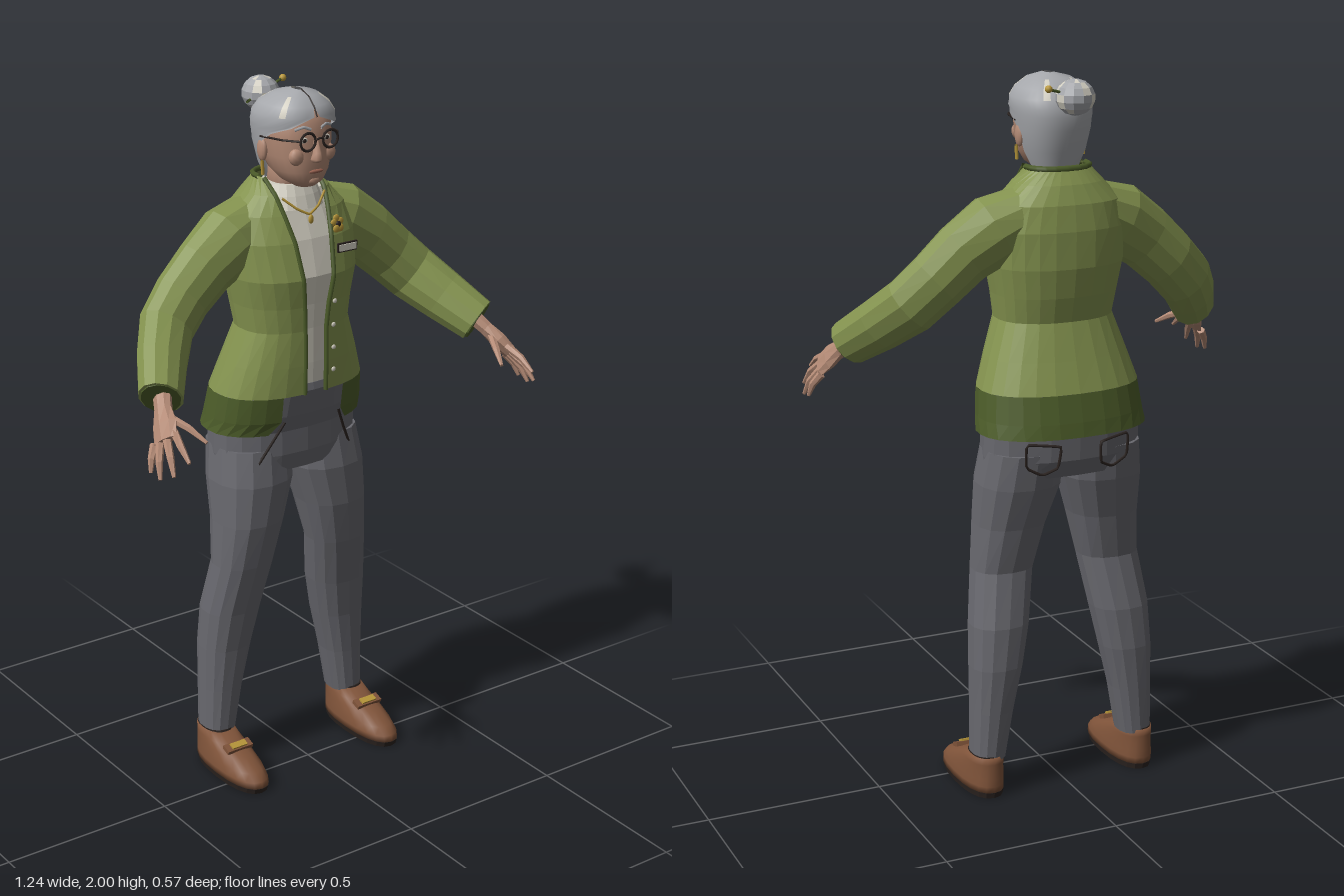
import * as THREE from 'three';

const V = (x, y, z) => new THREE.Vector3(x, y, z);
const paint = (name, color, side = THREE.FrontSide) =>
  Object.assign(new THREE.MeshStandardMaterial({ color, side }), { name });

// Joins rings of points into a skin; pick(row, column) chooses a material index.
function loft(rings, { open = false, flat = true, pick = () => 0 } = {}) {
  const n = rings[0].length, pos = [], faces = [];
  const put = (m, ...v) => (faces[m] ??= []).push(...v);
  rings.flat().forEach((p) => pos.push(p.x, p.y, p.z));
  for (let i = 0; i < rings.length - 1; i++)
    for (let j = 0; j < (open ? n - 1 : n); j++) {
      const k = (j + 1) % n, a = i * n + j, b = i * n + k;
      put(pick(i, j), a, b, b + n, a, b + n, a + n);
    }
  if (!open) [0, rings.length - 1].forEach((r, top) => {
    const c = rings[r].reduce((s, p) => s.add(p), V(0, 0, 0)).divideScalar(n);
    const id = pos.length / 3;
    pos.push(c.x, c.y, c.z);
    for (let j = 0; j < n; j++) {
      const a = r * n + j, b = r * n + (j + 1) % n;
      top ? put(0, a, b, id) : put(0, b, a, id);
    }
  });
  let g = new THREE.BufferGeometry();
  g.setAttribute('position', new THREE.Float32BufferAttribute(pos, 3));
  g.setIndex(faces.flat());
  let start = 0;
  faces.forEach((f, m) => { g.addGroup(start, f.length, m); start += f.length; });
  if (flat) g = g.toNonIndexed();
  g.computeVertexNormals();
  return g;
}

// Level ring [y, front z, back z, half width], starting at angle t0 from the front.
function ring([y, zf, zb, rx], { cx = 0, t0 = 0, n = 20, e = 0.85, open = false } = {}) {
  const pw = (v) => Math.sign(v) * Math.abs(v) ** e;
  return Array.from({ length: n }, (_, j) => {
    const t = t0 + (2 * Math.PI - 2 * t0) * j / (open ? n - 1 : n);
    return V(cx + rx * pw(Math.sin(t)), y, (zf + zb) / 2 + (zf - zb) / 2 * pw(Math.cos(t)));
  });
}
const gapAngle = (half, rx) => Math.asin(Math.min(1, half / rx) ** (1 / 0.85));

// Rings around a path of [x, y, z, thickness, width].
function sweep(path, n = 10) {
  const p = path.map((a) => V(a[0], a[1], a[2]));
  return path.map((a, i) => {
    const T = p[Math.min(i + 1, p.length - 1)].clone().sub(p[Math.max(i - 1, 0)]).normalize();
    const B = V(0, 0, 1).addScaledVector(T, -T.z).normalize(), N = T.clone().cross(B);
    return Array.from({ length: n }, (_, j) => {
      const t = j / n * 2 * Math.PI;
      return p[i].clone().addScaledVector(B, a[4] * Math.cos(t)).addScaledVector(N, a[3] * Math.sin(t));
    });
  });
}

// Point on a body table at x, y, pushed outwards by off.
function onBody(table, x, y, off = 0, back = false) {
  let i = 0;
  while (i < table.length - 2 && table[i + 1][0] < y) i++;
  const a = table[i], b = table[i + 1], f = THREE.MathUtils.clamp((y - a[0]) / (b[0] - a[0]), 0, 1);
  const [zf, zb, rx] = [1, 2, 3].map((k) => a[k] + (b[k] - a[k]) * f);
  const s = Math.min(1, Math.abs(x) / rx) ** (1 / 0.85), c = Math.sqrt(1 - s * s) ** 0.85;
  return V(x, y, (zf + zb) / 2 + (back ? -1 : 1) * ((zf - zb) / 2 * c + off));
}

// Body tables, bottom to top: y, front z, back z, half width, (opening half width)
const COAT = [[1.165, .037, -.262, .228, .035], [1.25, .04, -.235, .2, .035], [1.35, .04, -.205, .165, .035],
  [1.42, .045, -.222, .175, .04], [1.5, .055, -.235, .19, .05], [1.6, .03, -.235, .195, .06],
  [1.67, 0, -.225, .175, .072], [1.72, -.02, -.205, .125, .08], [1.76, -.04, -.18, .088, .084]];
const HEM = [[1.05, .01, -.287, .242, .13], [1.09, .025, -.28, .236, .1], [1.165, .037, -.262, .228, .1]];
const HIPS = [[.93, -.01, -.24, .222], [.98, 0, -.262, .227], [1.05, 0, -.265, .226], [1.1, .018, -.258, .215],
  [1.17, .03, -.24, .2], [1.19, .025, -.22, .185]];
const LEG = [[.11, -.085, -.2, .048, .228], [.25, -.078, -.207, .06, .215], [.38, -.068, -.213, .075, .2],
  [.5, -.05, -.207, .085, .185], [.65, -.02, -.175, .088, .162], [.78, 0, -.2, .1, .142],
  [.9, .003, -.235, .117, .122], [1, -.015, -.25, .11, .115]];
const HEAD = [[1.745, .012, -.05, .028], [1.76, .03, -.09, .052], [1.79, .038, -.13, .074], [1.83, .04, -.16, .087],
  [1.88, .037, -.17, .093], [1.92, .034, -.17, .093], [1.96, .01, -.14, .07]];
// Hair's last number is the angle where the face opening ends
const HAIR = [[1.745, .03, -.15, .068, 2], [1.8, .04, -.168, .09, 1.8], [1.86, .045, -.184, .101, 1.65],
  [1.895, .045, -.186, .105, 1.25], [1.915, .045, -.185, .107, .65], [1.94, .042, -.178, .105, .05],
  [1.965, .027, -.158, .09, 0], [1.988, .002, -.12, .058, 0], [2, -.03, -.075, .01, 0]];
const SHOE = [[.015, .105, -.207, .06], [.035, .1, -.208, .06], [.055, .075, -.207, .058], [.08, .02, -.205, .054],
  [.1, -.04, -.204, .05], [.12, -.085, -.202, .046]];

export function createModel() {
  const model = new THREE.Group();
  model.name = 'elderlyWoman';
  const skin = paint('skin', 0xb38a75), lip = paint('lips', 0x96604f), hair = paint('greyHair', 0xa5a7ab, THREE.DoubleSide);
  const cream = paint('cream', 0xd3cfc2, THREE.DoubleSide), green = paint('oliveCoat', 0x84934f, THREE.DoubleSide);
  const dark = paint('darkOlive', 0x4d5d2a, THREE.DoubleSide), grey = paint('greyTrousers', 0x68686e);
  const brown = paint('brownLeather', 0x80543a), black = paint('nearBlack', 0x2b2320), gold = paint('gold', 0xb8973a);

  const add = (name, geo, mat, x = 0, y = 0, z = 0) => {
    const m = new THREE.Mesh(geo, mat);
    m.name = name;
    m.position.set(x, y, z);
    model.add(m);
    return m;
  };
  const box = (name, w, h, d, mat, p) => add(name, new THREE.BoxGeometry(w, h, d), mat, p.x, p.y, p.z);
  const ball = (name, r, mat, p, sx = 1, sy = 1, sz = 1) =>
    add(name, new THREE.SphereGeometry(r, 12, 8).scale(sx, sy, sz), mat, p.x, p.y, p.z);
  const line = (name, pts, r, mat, closed = false) =>
    add(name, new THREE.TubeGeometry(new THREE.CatmullRomCurve3(pts, closed, 'catmullrom', 0.1), pts.length * 5, r, 5, closed), mat);
  const openRings = (table, n) => table.map((r) => ring(r, { t0: gapAngle(r[4], r[3]), n, open: true }));

  // Clothes on the torso
  add('coat', loft(openRings(COAT, 25), { open: true }), green);
  add('coatHem', loft(openRings(HEM, 25), { open: true }), dark);
  add('shirt', loft(COAT.slice(0, 8).map(([y, f, b, w]) => ring([y, f - .014, b + .02, w * .92]))), cream);
  add('shirtCollar', loft([[1.68, .0, -.17, .088], [1.715, -.012, -.165, .08], [1.745, -.025, -.16, .07]].map((r) => ring(r))), cream);
  add('trouserSeat', loft(HIPS.map((r) => ring(r))), grey);
  line('collarTrim', ring([1.76, -.04, -.18, .088], { t0: 1.5, n: 11, open: true }), .008, dark);

  // Neck and head
  add('neck', loft([[1.71, -.035, -.15, .056], [1.8, -.03, -.14, .056]].map((r) => ring(r)), { flat: false }), skin);
  add('head', loft(HEAD.map((r) => ring(r, { n: 24 })), { flat: false }), skin);
  add('hair', loft(HAIR.map((r) => ring(r, { t0: r[4], n: 33, open: true })), {
    open: true, flat: false,
    pick: (i, j) => +(i >= 5 && i < 7 && [4, 5, 13, 19, 27].includes(j)),
  }), [hair, cream]);
  line('hairParting', [[1.94, .043], [1.965, .029], [1.988, .004], [2, -.03]].map(([y, z]) => V(0, y, z)), .002, black);
  const bun = Array.from({ length: 8 }, (_, i) => {
    const a = -1.4 + 2.8 * i / 7, r = .053 * Math.cos(a);
    return ring([1.954 + .048 * Math.sin(a), -.222 + r, -.222 - r, r], { n: 12, e: 1 });
  });
  add('hairBun', loft(bun, { pick: (i, j) => +((j + (i >> 1)) % 4 === 0 && i > 0) }), [hair, cream]);
  line('hairPin', [V(-.06, 1.94, -.2), V(.08, 1.98, -.235)], .004, dark);
  ball('hairPinTip', .01, gold, V(.082, 1.981, -.235));

  // Face
  add('nose', loft([[1.818, .05, .01, .014], [1.828, .066, .01, .018], [1.845, .058, .01, .012],
    [1.885, .042, .01, .008]].map((r) => ring(r, { n: 8, e: 1 })), { flat: false }), skin);
  ball('mouth', .024, lip, onBody(HEAD, 0, 1.793), 1, .22, .25);
  ball('chin', .022, skin, V(0, 1.766, .018), 1.1, .7, .8);
  line('glassesBridge', [V(-.012, 1.884, .056), V(0, 1.888, .058), V(.012, 1.884, .056)], .003, black);
  for (const s of [1, -1]) {
    const eye = onBody(HEAD, s * .036, 1.88);
    ball('eye', .013, cream, eye, 1, .6, .4);
    ball('pupil', .006, black, eye.clone().add(V(0, 0, .004)), 1, 1, .5);
    line('eyebrow', [.016, .036, .058].map((x, i) => onBody(HEAD, s * x, [1.908, 1.916, 1.908][i], .002)), .004, hair);
    ball('cheek', .024, skin, onBody(HEAD, s * .05, 1.835, -.008), 1, 1, .7);
    add('glassesRim', new THREE.TorusGeometry(.024, .0038, 6, 18), black, s * .036, 1.88, .052);
    line('glassesArm', [V(s * .06, 1.884, .05), V(s * .088, 1.884, .01), V(s * .102, 1.88, -.075)], .003, black);
    ball('ear', .028, skin, V(s * .094, 1.842, -.078), .4, 1.15, .7);
    line('earring', [V(s * .1, 1.815, -.07), V(s * .098, 1.775, -.07)], .005, gold);
  }

  // Necklace, badge, flower pin and buttons
  const chest = (x, y, off) => onBody(COAT, x, y, off);
  line('necklace', [[-.07, 1.715], [-.035, 1.685], [0, 1.667], [.035, 1.685], [.07, 1.715]].map(([x, y]) => chest(x, y, .007)), .0035, gold);
  ball('pendant', .01, gold, chest(0, 1.655, .008), .8, 1.3, .5);
  box('badgeBack', .064, .026, .006, black, chest(.105, 1.565, .012));
  box('badgePlate', .056, .018, .006, cream, chest(.105, 1.565, .015));
  for (let i = 0; i < 5; i++)
    ball('flowerPetal', .011, gold, chest(.087 + .014 * Math.sin(i * 1.257), 1.627 + .014 * Math.cos(i * 1.257), .006), 1, 1, .4);
  ball('flowerCentre', .009, black, chest(.087, 1.627, .01), 1, 1, .5);
  for (const y of [1.22, 1.285, 1.35, 1.42]) ball('coatButton', .007, cream, chest(.06, y, .002), 1, 1, .5);

  for (const s of [1, -1]) {
    line('coatFrontTrim', COAT.map(([y, , , , g]) => chest(s * g, y, 0)), .007, dark);

    // Sleeve, with its dark lining at the cuff
    const at = (path) => path.map(([x, ...r]) => [s * x, ...r]);
    add('sleeve', loft(sweep(at([[.09, 1.645, -.125, .075, .08], [.18, 1.6, -.11, .1, .085], [.27, 1.54, -.1, .09, .072],
      [.345, 1.472, -.095, .085, .068], [.41, 1.408, -.072, .083, .066], [.47, 1.345, 0, .076, .062],
      [.528, 1.282, .085, .066, .056]]), 12)), green);
    add('cuffLining', loft(sweep(at([[.522, 1.288, .076, .06, .05], [.53, 1.28, .0885, .058, .05]]), 12)), dark);

    // Hand
    add('palm', loft(sweep(at([[.515, 1.3, .07, .024, .028], [.54, 1.262, .115, .02, .027],
      [.558, 1.232, .15, .02, .042], [.576, 1.202, .18, .014, .042]]), 8)), skin);
    const fingers = [
      ['thumb', [.54, 1.25, .135], [.512, 1.228, .195], [.491, 1.2, .245]],
      ['indexFinger', [.555, 1.228, .19], [.566, 1.205, .24], [.57, 1.175, .285]],
      ['middleFinger', [.572, 1.208, .182], [.59, 1.175, .227], [.6, 1.135, .258]],
      ['ringFinger', [.583, 1.193, .165], [.605, 1.155, .195], [.615, 1.116, .215]],
      ['littleFinger', [.588, 1.185, .145], [.608, 1.155, .162], [.617, 1.122, .172]]];
    for (const [name, ...p] of fingers)
      add(name, loft(sweep(at(p.map((q, i) => [...q, [.012, .01, .005][i], [.012, .01, .005][i]])), 6)), skin);

    // Trouser leg and pockets
    add('trouserLeg', loft(LEG.map((r) => ring(r, { cx: s * r[4], n: 14 }))), grey);
    line('frontPocketSeam', [[.09, 1.09], [.125, 1.02], [.165, .945]].map(([x, y]) => onBody(HIPS, s * x, y, .012)), .004, black);
    const pocket = [[.06, 1.025], [.15, 1.035], [.15, .97], [.105, .945], [.065, .965]];
    line('backPocketSeam', pocket.map(([x, y]) => onBody(HIPS, s * x, y, .008, true)), .004, black, true);

    // Shoe with sole, opening and buckle
    const foot = (r) => ring(r, { cx: s * .233, n: 20 });
    add('shoe', loft(SHOE.map(foot), { flat: false }), brown);
    add('shoeSole', loft([[0, .1, -.204, .057], [.017, .106, -.208, .0605]].map(foot)), black);
    add('shoeOpening', loft([[.115, -.08, -.2, .043], [.123, -.083, -.2, .044]].map(foot)), black);
    const strap = box('shoeStrap', .085, .012, .03, brown, V(s * .233, .097, -.022));
    const buckle = box('shoeBuckle', .05, .009, .02, gold, V(s * .233, .103, -.019));
    strap.rotation.x = buckle.rotation.x = .35;
  }
  return model;
}
